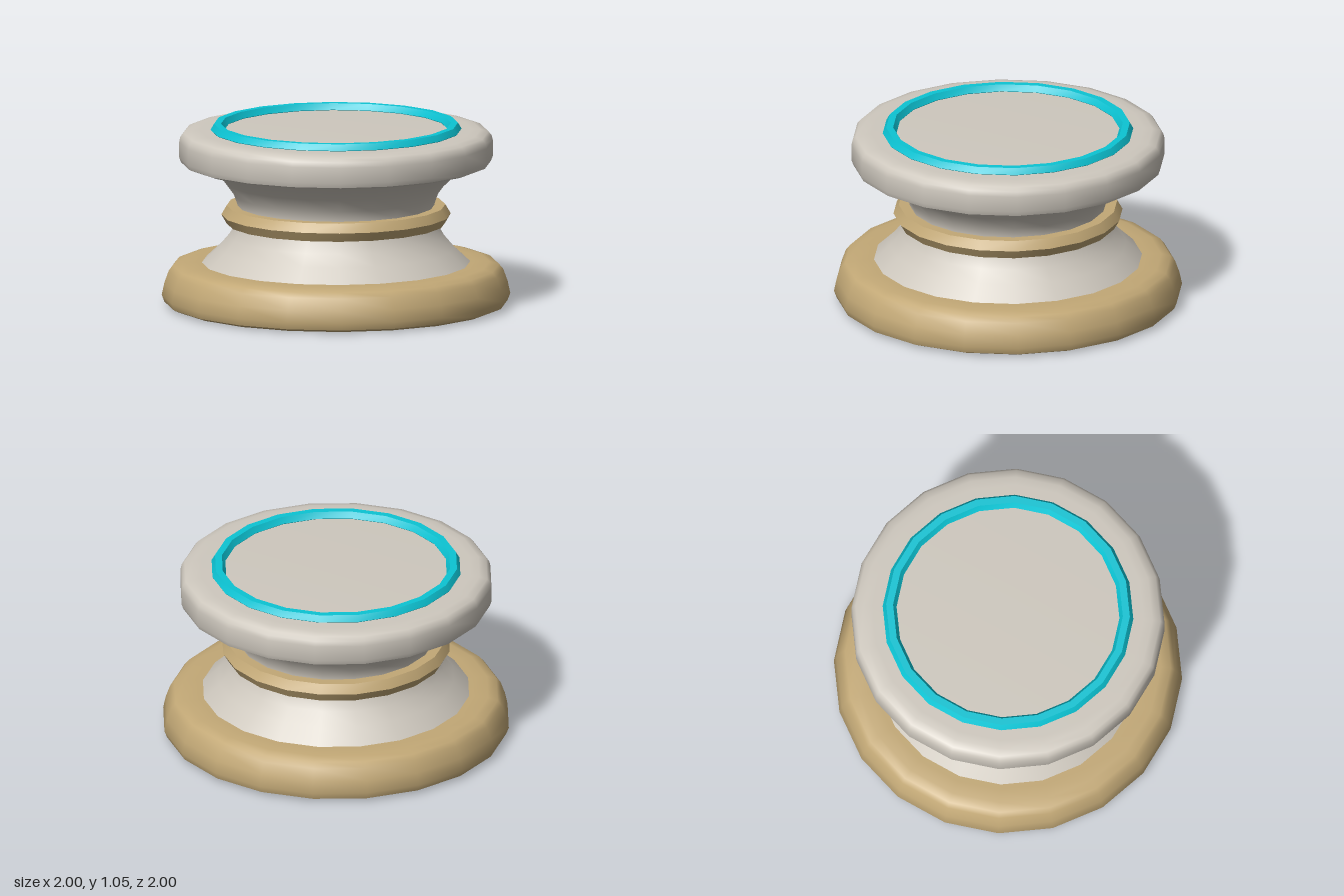
import * as THREE from 'three';
import { toCreasedNormals } from 'three/addons/utils/BufferGeometryUtils.js';

const SIDES = 20;

export function createModel() {
  const group = new THREE.Group();
  const stone = new THREE.MeshStandardMaterial({ name: 'paleStone', color: 0xcec8be });
  const brass = new THREE.MeshStandardMaterial({ name: 'brass', color: 0xc2a876 });
  const cyan = new THREE.MeshStandardMaterial({ name: 'cyan', color: 0x0cc4d4 });

  const add = (name, geometry, material) => {
    const mesh = new THREE.Mesh(geometry, material);
    mesh.name = name;
    group.add(mesh);
  };

  // Turned part from [radius, height] points, bottom to top
  const turned = (name, profile, material) => {
    const points = profile.map(([r, y]) => new THREE.Vector2(r, y));
    add(name, toCreasedNormals(new THREE.LatheGeometry(points, SIDES), 0.8), material);
  };

  // Hexagonal-section ring lying flat
  const ring = (name, radius, tube, y, material) => {
    const geometry = new THREE.TorusGeometry(radius, tube, 6, SIDES);
    geometry.rotateX(-Math.PI / 2).translate(0, y, 0);
    add(name, toCreasedNormals(geometry, 0.5), material);
  };

  // Wide rounded foot
  turned('base', [
    [0, 0], [0.9, 0], [0.95, 0.005], [0.985, 0.02], [1, 0.06], [0.985, 0.13],
    [0.96, 0.2], [0.935, 0.23], [0.88, 0.245], [0.8, 0.247], [0, 0.247],
  ], brass);

  // Waisted neck, flaring at both ends
  turned('neck', [
    [0.78, 0.235], [0.77, 0.247], [0.68, 0.33], [0.62, 0.4], [0.585, 0.46],
    [0.565, 0.525], [0.565, 0.58], [0.585, 0.64], [0.64, 0.715],
    [0.7, 0.773], [0.75, 0.808], [0.75, 0.825],
  ], stone);

  ring('waistBand', 0.597, 0.061, 0.526, brass);

  // Rounded top disc
  turned('cap', [
    [0, 0.818], [0.8, 0.818], [0.86, 0.82], [0.89, 0.832], [0.9, 0.86],
    [0.9, 0.95], [0.893, 0.98], [0.875, 1.002], [0.83, 1.014], [0.78, 1.016], [0, 1.016],
  ], stone);

  ring('glowRing', 0.68, 0.04, 1.019, cyan);

  return group;
}
